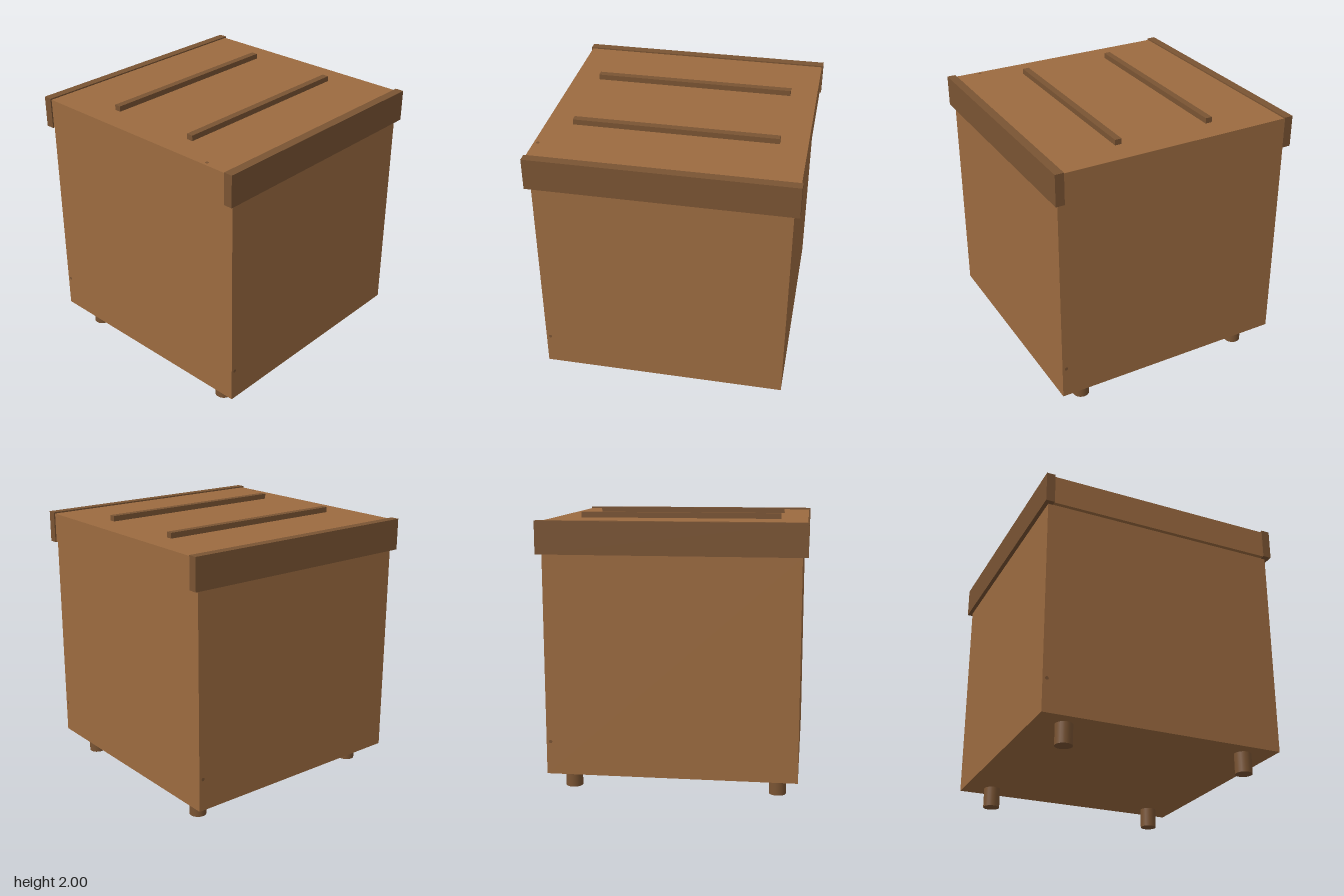
import * as THREE from 'three';

export function createModel() {
  const model = new THREE.Group();
  model.name = 'crate';
  const wood = new THREE.MeshStandardMaterial({ color: 0x9c6b40 });
  wood.name = 'light wood';
  const trim = new THREE.MeshStandardMaterial({ color: 0x7a5433 });
  trim.name = 'dark wood';

  const add = (name, geometry, material, x, y, z) => {
    const mesh = new THREE.Mesh(geometry, material);
    mesh.name = name;
    mesh.position.set(x, y, z);
    model.add(mesh);
    return mesh;
  };
  // Box given by its width, depth, bottom and top
  const box = (name, w, d, y0, y1, z, material) =>
    add(name, new THREE.BoxGeometry(w, y1 - y0, d), material, 0, (y0 + y1) / 2, z);

  box('body', 1.8, 1.8, 0.15, 1.74, 0, wood);
  box('lid', 1.86, 1.74, 1.74, 1.96, 0, wood);

  // Rails across the lid ends, slats on top and round feet
  const foot = new THREE.CylinderGeometry(0.062, 0.062, 0.15, 24);
  for (const s of [1, -1]) {
    const end = s > 0 ? 'front' : 'back';
    box(end + 'Rail', 1.88, 0.065, 1.738, 1.97, s * 0.8975, trim);
    box(end + 'Slat', 1.47, 0.05, 1.96, 2, s * 0.36, trim);
    for (const side of [1, -1]) {
      add(end + (side > 0 ? 'Left' : 'Right') + 'Foot', foot, trim, side * 0.753, 0.075, s * 0.685);
    }
  }

  // Small knot low on the left of each wall, and one on the lid
  const knot = new THREE.CircleGeometry(0.013, 12);
  for (let i = 0; i < 4; i++) {
    const a = (i * Math.PI) / 2;
    const c = Math.cos(a);
    const s = Math.sin(a);
    const wallKnot = add('wallKnot', knot, trim, -0.87 * c + 0.902 * s, 0.39, 0.87 * s + 0.902 * c);
    wallKnot.rotation.y = a;
  }
  const lidKnot = add('lidKnot', knot, trim, -0.9, 1.962, 0.68);
  lidKnot.rotation.x = -Math.PI / 2;

  return model;
}
